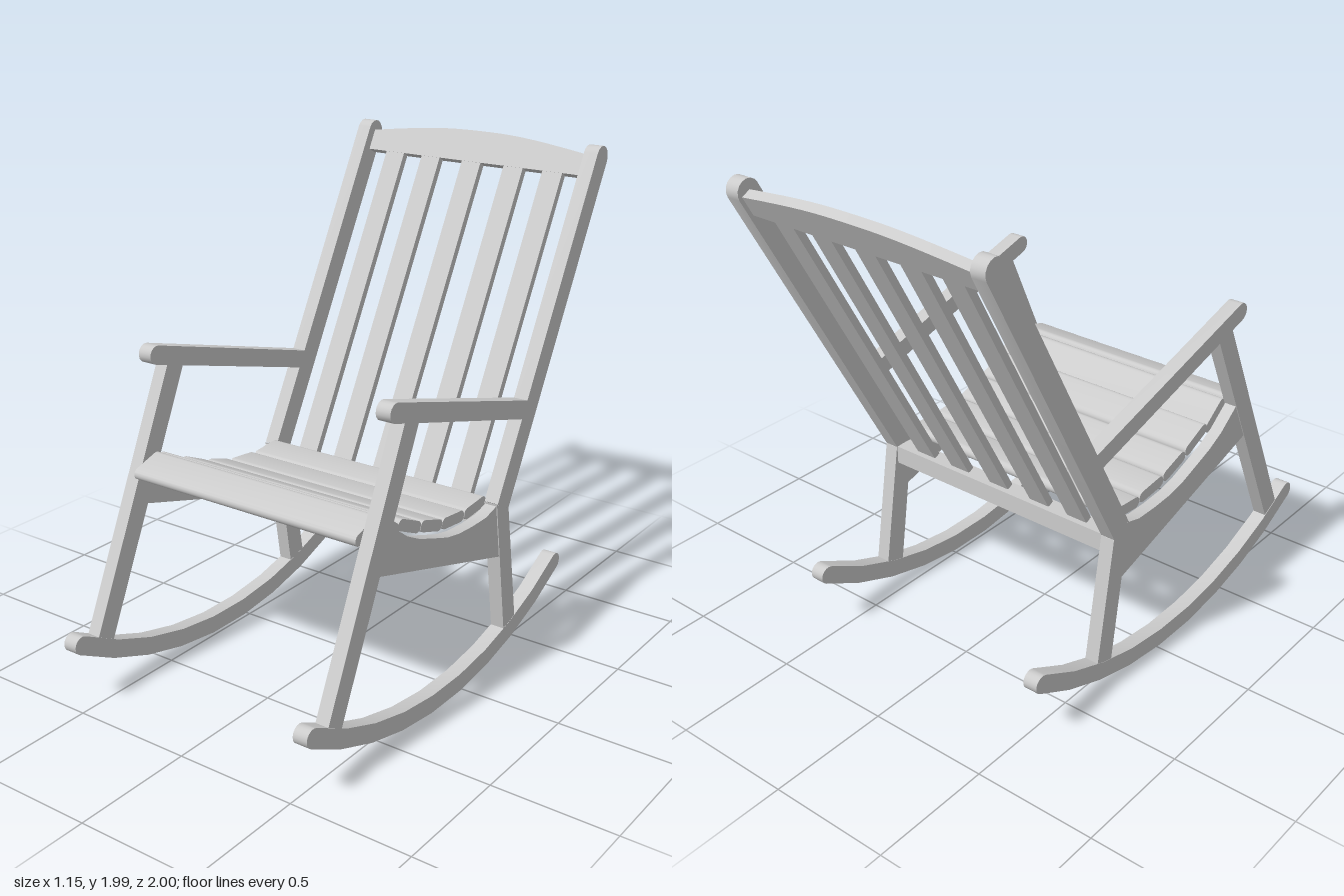
import * as THREE from 'three';
import { toCreasedNormals } from 'three/addons/utils/BufferGeometryUtils.js';

const material = new THREE.MeshStandardMaterial({ color: 0xcccccc });
const SIDE_X = 0.545; // middle of the side frames
const HALF = 0.516;   // half of the span between the side frames

// Side profile of [z, y] points, extruded across x and centred on x = 0
function extrudeSide(points, width) {
  const shape = new THREE.Shape(points.map(([z, y]) => new THREE.Vector2(z, y)));
  const geo = new THREE.ExtrudeGeometry(shape, { depth: width, bevelEnabled: false });
  geo.translate(0, 0, -width / 2);
  geo.rotateY(-Math.PI / 2);
  return toCreasedNormals(geo, 0.6);
}

// Outline of a bar of radius r along a centreline, with optional round ends
function barOutline(path, r, roundStart = true, roundEnd = true, steps = 8) {
  const n = path.length;
  const angle = path.map((_, i) => {
    const a = path[Math.max(i - 1, 0)], b = path[Math.min(i + 1, n - 1)];
    return Math.atan2(b[1] - a[1], b[0] - a[0]);
  });
  const at = (i, turn) => [
    path[i][0] + r * Math.cos(angle[i] + turn),
    path[i][1] + r * Math.sin(angle[i] + turn)];
  const out = [];
  for (let i = 0; i < n; i++) out.push(at(i, -Math.PI / 2));
  if (roundEnd) for (let k = 1; k < steps; k++) out.push(at(n - 1, -Math.PI / 2 + Math.PI * k / steps));
  for (let i = n - 1; i >= 0; i--) out.push(at(i, Math.PI / 2));
  if (roundStart) for (let k = 1; k < steps; k++) out.push(at(0, Math.PI / 2 + Math.PI * k / steps));
  return out;
}

function add(parent, name, geo, x = 0, y = 0, z = 0) {
  const mesh = new THREE.Mesh(geo, material);
  mesh.name = name;
  mesh.position.set(x, y, z);
  parent.add(mesh);
  return mesh;
}

export function createModel() {
  const chair = new THREE.Group();
  chair.name = 'rockingChair';

  // Rocker centreline: a shallow circular arc
  const mid = 0.117, halfChord = 0.847, sag = 0.235;
  const R = (halfChord ** 2 + sag ** 2) / (2 * sag);
  const sweep = Math.asin(halfChord / R);
  const arc = [];
  for (let i = 0; i <= 9; i++) {
    const a = sweep * (1 - 2 * i / 9);
    arc.push([mid + R * Math.sin(a), 0.039 + R * (1 - Math.cos(a))]);
  }

  // Side frame profiles
  const parts = {
    rocker: [extrudeSide(barOutline(arc, 0.037), 0.06)],
    frontLeg: [extrudeSide([[0.88, 0.26], [0.8, 0.225], [0.34, 1.23], [0.425, 1.26]], 0.056)],
    rearLeg: [extrudeSide([[-0.222, 0.712], [-0.313, 0.672], [-0.402, 0.14], [-0.315, 0.12]], 0.058)],
    armrest: [extrudeSide(barOutline([[0.487, 1.3], [-0.425, 1.045]], 0.037, true, false), 0.06)],
    seatSide: [extrudeSide([[0.59, 0.725], [-0.265, 0.475], [-0.225, 0.705], [-0.15, 0.685],
      [-0.05, 0.684], [0.05, 0.69], [0.13, 0.705], [0.22, 0.735], [0.32, 0.77],
      [0.4, 0.81], [0.5, 0.885], [0.53, 0.87]], 0.05)],
  };
  for (const s of [1, -1]) {
    const side = new THREE.Group();
    side.name = s > 0 ? 'leftSide' : 'rightSide';
    for (const [name, [geo]] of Object.entries(parts)) add(side, name, geo, s * SIDE_X);
    chair.add(side);
  }

  // Seat slats following the dished seat, back to front
  const slats = [
    [[-0.21, 0.715], [-0.098, 0.706]],
    [[-0.05, 0.711], [0.06, 0.722]],
    [[0.105, 0.731], [0.207, 0.764]],
    [[0.252, 0.777], [0.355, 0.823]],
    [[0.393, 0.818], [0.482, 0.884]],
    [[0.618, 0.862], [0.515, 0.894]],
  ];
  for (const path of slats) add(chair, 'seatSlat', extrudeSide(barOutline(path, 0.023), HALF * 2));

  // Lower back rail between the knees of the side frames
  add(chair, 'lowerBackRail',
    extrudeSide([[-0.235, 0.6], [-0.235, 0.675], [-0.31, 0.675], [-0.31, 0.6]], HALF * 2));

  // Reclined back, built upright and then tilted
  const back = new THREE.Group();
  back.name = 'back';
  back.position.set(0, 0.695, -0.27);
  back.rotation.x = -0.4966;
  chair.add(back);

  const post = extrudeSide(barOutline([[0, -0.005], [0, 1.427]], 0.0475, false, true), 0.06);
  for (const s of [1, -1]) add(back, 'backPost', post, s * SIDE_X);

  for (const x of [-0.38, -0.2, 0, 0.2, 0.38]) {
    add(back, 'backSlat', new THREE.BoxGeometry(0.09, 1.38, 0.03), x, 0.675, -0.008);
  }

  // Top rail with a gently arched upper edge
  const crest = new THREE.Shape();
  crest.moveTo(-HALF, 1.343);
  crest.lineTo(HALF, 1.343);
  crest.lineTo(HALF, 1.43);
  crest.bezierCurveTo(0.22, 1.475, 0.14, 1.477, 0, 1.477);
  crest.bezierCurveTo(-0.14, 1.477, -0.22, 1.475, -HALF, 1.43);
  const crestGeo = new THREE.ExtrudeGeometry(crest, { depth: 0.04, bevelEnabled: false, curveSegments: 8 });
  add(back, 'topRail', toCreasedNormals(crestGeo, 0.6), 0, 0, -0.032);

  return chair;
}
